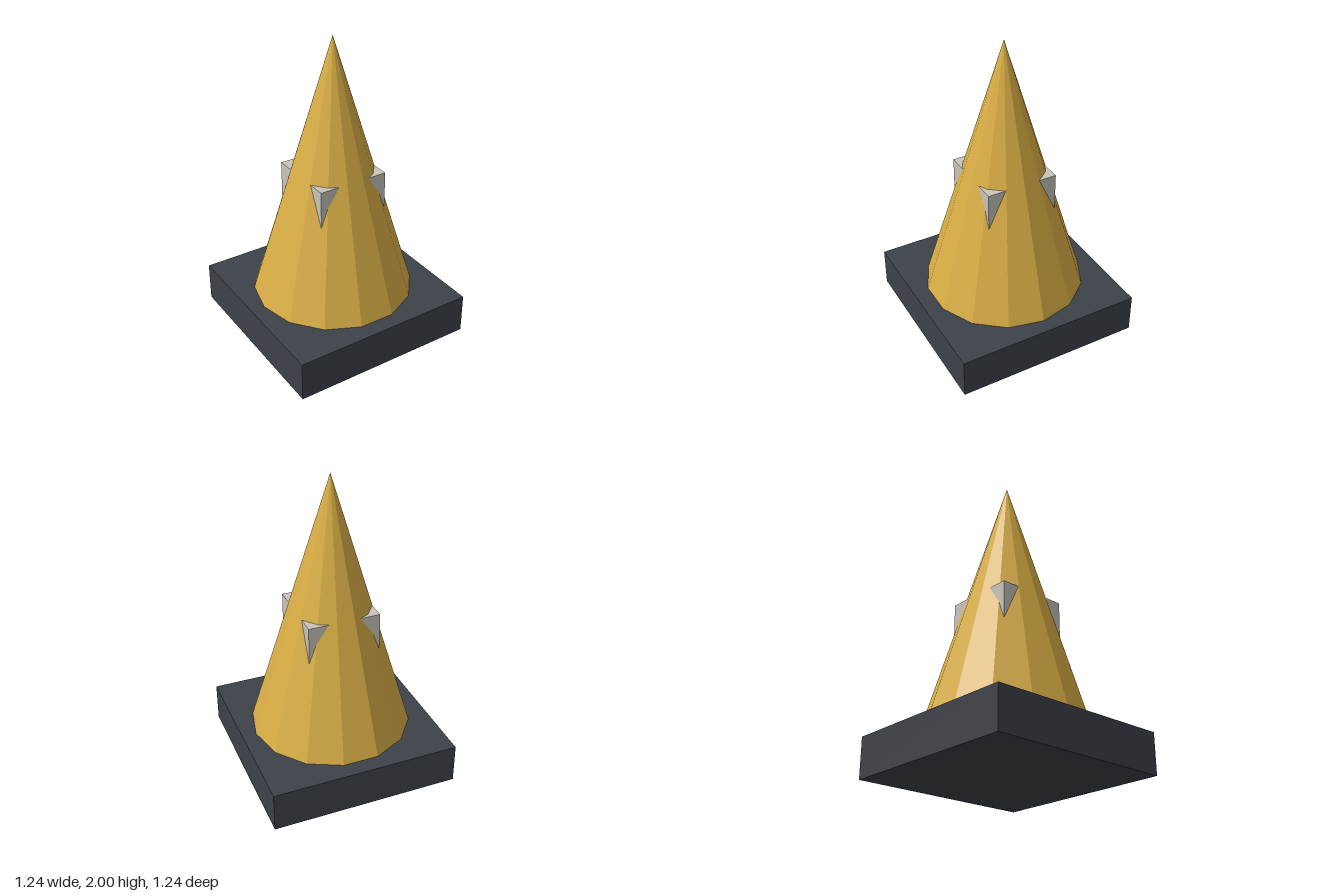
import * as THREE from 'three';

export function createModel() {
  const model = new THREE.Group();
  const material = (name, color) => {
    const m = new THREE.MeshStandardMaterial({ color, flatShading: true });
    m.name = name;
    return m;
  };
  const add = (name, geometry, mat, y) => {
    const mesh = new THREE.Mesh(geometry, mat);
    mesh.name = name;
    mesh.position.y = y;
    model.add(mesh);
  };

  const baseHeight = 0.265;
  const coneHeight = 2 - baseHeight;

  // Square plinth
  add('base', new THREE.BoxGeometry(1.235, baseHeight, 1.235),
    material('dark slate', 0x3d4249), baseHeight / 2);

  // Fourteen-sided spire with corners on the x axis
  add('cone', new THREE.ConeGeometry(0.525, coneHeight, 14, 1, false, Math.PI / 2),
    material('gold', 0xd9ae45), baseHeight + coneHeight / 2);

  // Square collar: only its four corners break through the spire
  add('collar', new THREE.BoxGeometry(0.47, 0.28, 0.47),
    material('pale grey', 0xc9c5bb), 1.13 - 0.14);

  return model;
}
